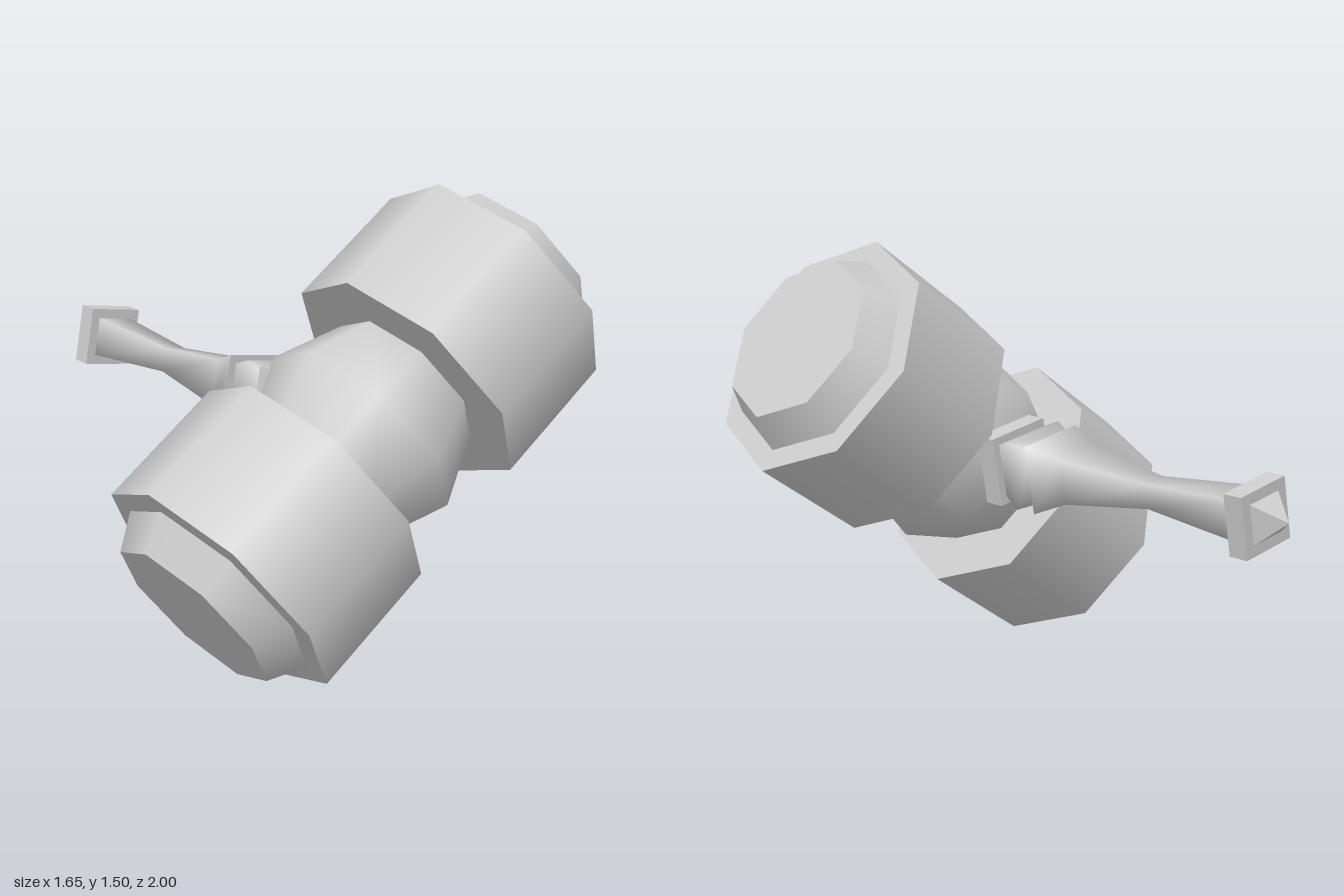
import * as THREE from 'three';
import { toCreasedNormals } from 'three/addons/utils/BufferGeometryUtils.js';

const TILT = THREE.MathUtils.degToRad(34.9);
const MID_Y = 0.755;
const HEAD_Z = 0.5625;

export function createModel() {
  const model = new THREE.Group();
  model.name = 'mallet';
  const material = new THREE.MeshStandardMaterial({ color: 0xcccccc });

  const add = (parent, name, geometry) => {
    const mesh = new THREE.Mesh(geometry, material);
    mesh.name = name;
    parent.add(mesh);
    return mesh;
  };
  // Turned profile from [radius, position along axis] pairs
  const turn = (profile, sides) =>
    new THREE.LatheGeometry(profile.map(([r, p]) => new THREE.Vector2(r, p)), sides);

  // Eight-sided head, built along x and then tilted
  const head = new THREE.Group();
  head.name = 'head';
  head.position.set(0, MID_Y, HEAD_Z);
  head.rotation.z = TILT;
  model.add(head);

  const core = turn([[0.27, -0.228], [0.36, 0], [0.27, 0.228]], 8);
  add(head, 'headCore', core.rotateZ(-Math.PI / 2));

  for (const [side, turnY] of [['left', 0], ['right', Math.PI]]) {
    const half = new THREE.Group();
    half.name = side + 'HeadHalf';
    half.rotation.y = turnY;
    head.add(half);
    const drum = new THREE.CylinderGeometry(0.437, 0.437, 0.458, 8);
    add(half, side + 'Drum', drum.rotateZ(-Math.PI / 2).translate(0.456, 0, 0));
    const face = new THREE.CylinderGeometry(0.295, 0.36, 0.118, 8);
    add(half, side + 'StrikingFace', face.rotateZ(-Math.PI / 2).translate(0.742, 0, 0));
  }

  // Four-sided handle running back along z, rolled with the head
  const handle = new THREE.Group();
  handle.name = 'handle';
  handle.position.y = MID_Y;
  handle.rotation.z = TILT;
  model.add(handle);

  const square = (name, profile, sharp = false) => {
    const geometry = turn(profile, 4).rotateX(Math.PI / 2);
    add(handle, name, sharp ? toCreasedNormals(geometry, 0.5) : geometry);
  };
  square('pommelPoint', [[0, -1], [0.1, -0.905]], true);
  square('pommelBlock', [[0, -0.91], [0.146, -0.91], [0.146, -0.84], [0, -0.84]], true);
  square('grip', [[0.098, -0.845], [0.06, -0.45], [0.112, -0.1], [0.171, 0.015]]);
  square('gripEnd', [[0.171, 0.015], [0, 0.015]], true);
  square('neckBulb', [[0.128, 0.01], [0.171, 0.1], [0.13, 0.18]]);
  square('collar', [[0, 0.175], [0.171, 0.175], [0.171, 0.25], [0, 0.25]], true);

  return model;
}
